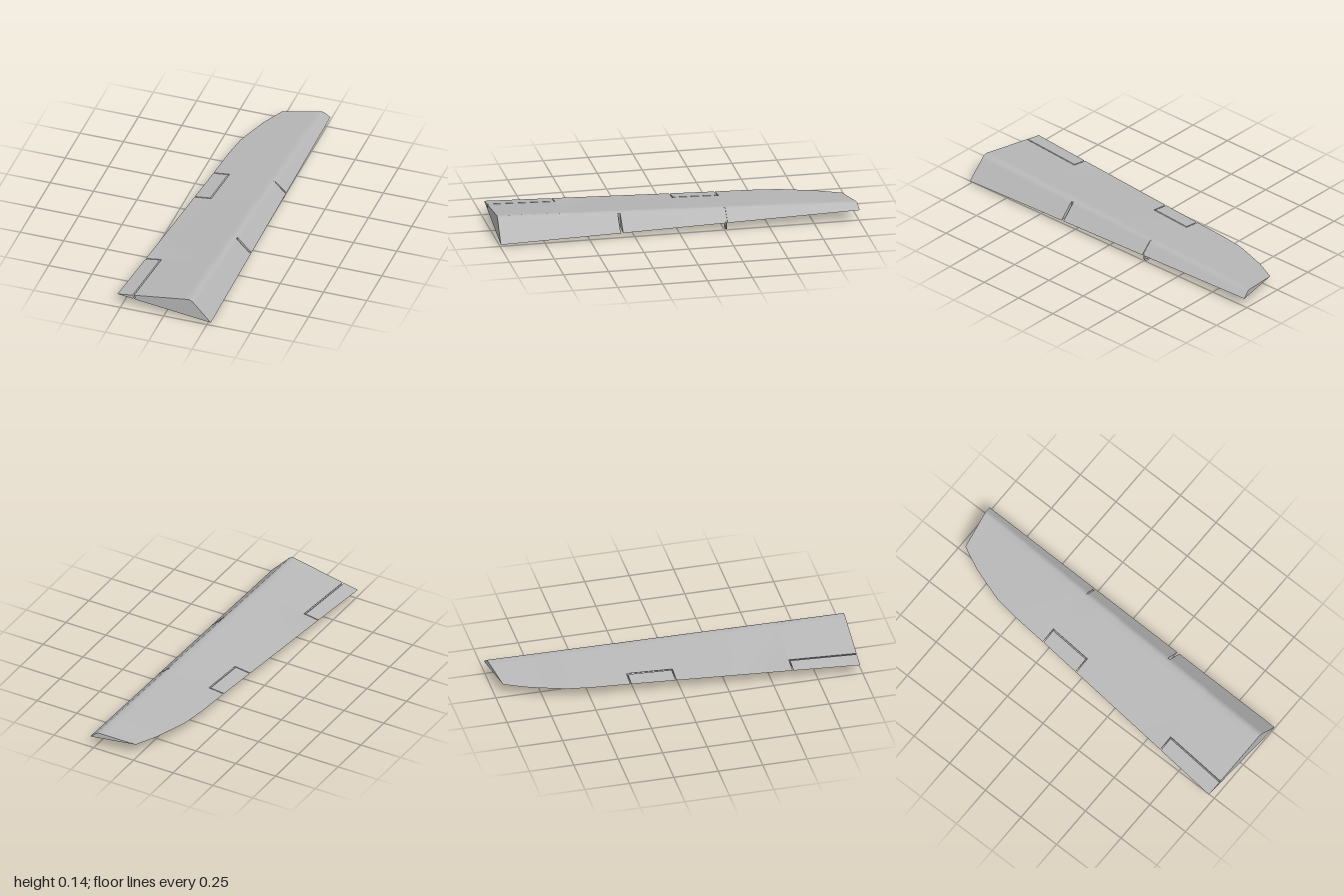
import * as THREE from 'three';
import { toCreasedNormals } from 'three/addons/utils/BufferGeometryUtils.js';

const grey = new THREE.MeshStandardMaterial({ color: 0xb8b8b8 });
grey.name = 'wing grey';

const LE = 0.272; // straight leading edge
const lerp = THREE.MathUtils.lerp;

// Piecewise linear lookup through [key, value] pairs with rising keys
function along(points, k) {
  for (let i = 1; i < points.length; i++) {
    const [k0, v0] = points[i - 1], [k1, v1] = points[i];
    if (k <= k1 || i === points.length - 1) return lerp(v0, v1, (k - k0) / (k1 - k0));
  }
}

// Trailing edge plan shape: straight inboard, curving in to the tip
const trailing = [[-1, 0.01], [-0.93, -0.023], [-0.86, -0.053], [-0.735, -0.09],
  [-0.635, -0.117], [-0.48, -0.138], [-0.28, -0.154], [1, -0.273]];

// Profile of the wing at span station s (1 = root, -1 = tip)
function profile(s) {
  const t = (1 - s) / 2;
  const te = along(trailing, s);
  const yTE = lerp(0.072, 0.075, t), yLE = lerp(0.018, 0.067, t);
  const ridge = lerp(0.14, 0.222, t), yRidge = lerp(0.139, 0.1, t);
  const nose = lerp(0.165, 0.238, t), yNose = lerp(0.13, 0.095, t);
  const mid = lerp(ridge, nose, 0.45), yMid = lerp(yRidge, yNose, 0.3);
  const top = [[te, yTE], [ridge, yRidge], [mid, yMid], [nose, yNose], [LE, yLE]];
  return {
    te, nose, chord: LE - te,
    rows: [ridge - 0.03, ridge, mid, nose, nose + 0.012],
    upper: x => along(top, x),
    lower: x => lerp(yTE, yLE, (x - te) / (LE - te)),
    // the root and tip ends are cut slightly askew
    skew: s > 0.6 ? -0.037 * (s - 0.6) / 0.4 : s < -0.6 ? 0.164 * (-s - 0.6) / 0.4 : 0,
  };
}

// Counter-clockwise outline of one section between two chordwise limits
function section(s, { from, to, vFrom = 0, vTo = 0, lift = 0, drop = 0 }) {
  const p = profile(s);
  const a = from ? from(p) : p.te, b = to ? to(p) : LE;
  const xs = [a, ...p.rows.filter(x => x > a + 0.002 && x < b - 0.002), b];
  const up = x => p.upper(x) - (x > p.nose - 0.001 ? drop : 0);
  const low = x => p.lower(x) + lift;
  const middle = x => (p.upper(x) + p.lower(x)) / 2;
  const loop = xs.map(x => [x, low(x)]);
  if (to) {
    if (vTo) loop.push([b + vTo, middle(b)]);
    loop.push([b, up(b)]);
  }
  for (let i = xs.length - 2; i > 0; i--) loop.push([xs[i], up(xs[i])]);
  if (from) {
    loop.push([a, up(a)]);
    if (vFrom) loop.push([a + vFrom, middle(a)]);
  }
  return loop.map(([x, y]) => new THREE.Vector3(x, y, s + p.skew * (LE - x)));
}

// Closed loft through stations running from root to tip
function loft(name, stations, options = {}) {
  const rings = stations.map(s => section(s, options));
  const n = rings[0].length, pos = [];
  const tri = (...v) => v.forEach(q => pos.push(q.x, q.y, q.z));
  for (let i = 0; i < rings.length - 1; i++) {
    const F = rings[i], B = rings[i + 1];
    for (let j = 0; j < n; j++) {
      const k = (j + 1) % n;
      tri(F[j], B[j], B[k]);
      tri(F[j], B[k], F[k]);
    }
  }
  const cap = (ring, flip) => {
    const flat = ring.map(v => new THREE.Vector2(v.x, v.y));
    for (const [a, b, c] of THREE.ShapeUtils.triangulateShape(flat, [])) {
      if (flip) tri(ring[a], ring[c], ring[b]);
      else tri(ring[a], ring[b], ring[c]);
    }
  };
  cap(rings[0], false);
  cap(rings[rings.length - 1], true);
  const geo = new THREE.BufferGeometry();
  geo.setAttribute('position', new THREE.Float32BufferAttribute(pos, 3));
  const mesh = new THREE.Mesh(toCreasedNormals(geo, 0.5), grey);
  mesh.name = name;
  return mesh;
}

export function createModel() {
  const model = new THREE.Group();
  model.name = 'wing';

  // Hinge lines as a fraction of the chord, with a V-shaped groove
  const hinge = f => ({ from: p => p.te + f * p.chord, vFrom: 0.01 });
  const surface = f => ({ to: p => p.te + f * p.chord - 0.008, vTo: 0.01 });
  const inner = 0.176, outer = 0.215;

  // Main wing panels, root to tip
  model.add(
    loft('rootPanel', [1, 0.61], hinge(inner)),
    loft('innerPanel', [0.61, 0.332], {}),
    loft('notchedPanel', [0.332, 0.318], { to: p => p.nose }),
    loft('middlePanel', [0.318, -0.028], {}),
    loft('aileronPanel', [-0.028, -0.256], hinge(outer)),
    loft('fenceGroove', [-0.256, -0.264],
      { ...hinge(outer), to: () => LE - 0.012, lift: 0.004, drop: 0.007 }),
    loft('aileronEndPanel', [-0.264, -0.282], hinge(outer)),
    loft('tipPanel', [-0.282, -0.38, -0.48, -0.56, -0.635, -0.735, -0.8, -0.86, -0.93, -1], {}),
  );

  // Moving trailing edge surfaces
  model.add(
    loft('flap', [1, 0.616], surface(inner)),
    loft('aileron', [-0.034, -0.276], surface(outer)),
  );

  // Thin ring half sunk into the underside
  const disc = new THREE.Shape().absarc(0, 0, 0.0314, 0, Math.PI * 2);
  disc.holes.push(new THREE.Path().absarc(0, 0, 0.02, 0, Math.PI * 2, true));
  const ring = new THREE.Mesh(
    new THREE.ExtrudeGeometry(disc, { depth: 0.006, bevelEnabled: false, curveSegments: 7 }), grey);
  ring.name = 'tieDownRing';
  ring.position.set(0.232, 0.0314, -0.263);
  model.add(ring);

  return model;
}
